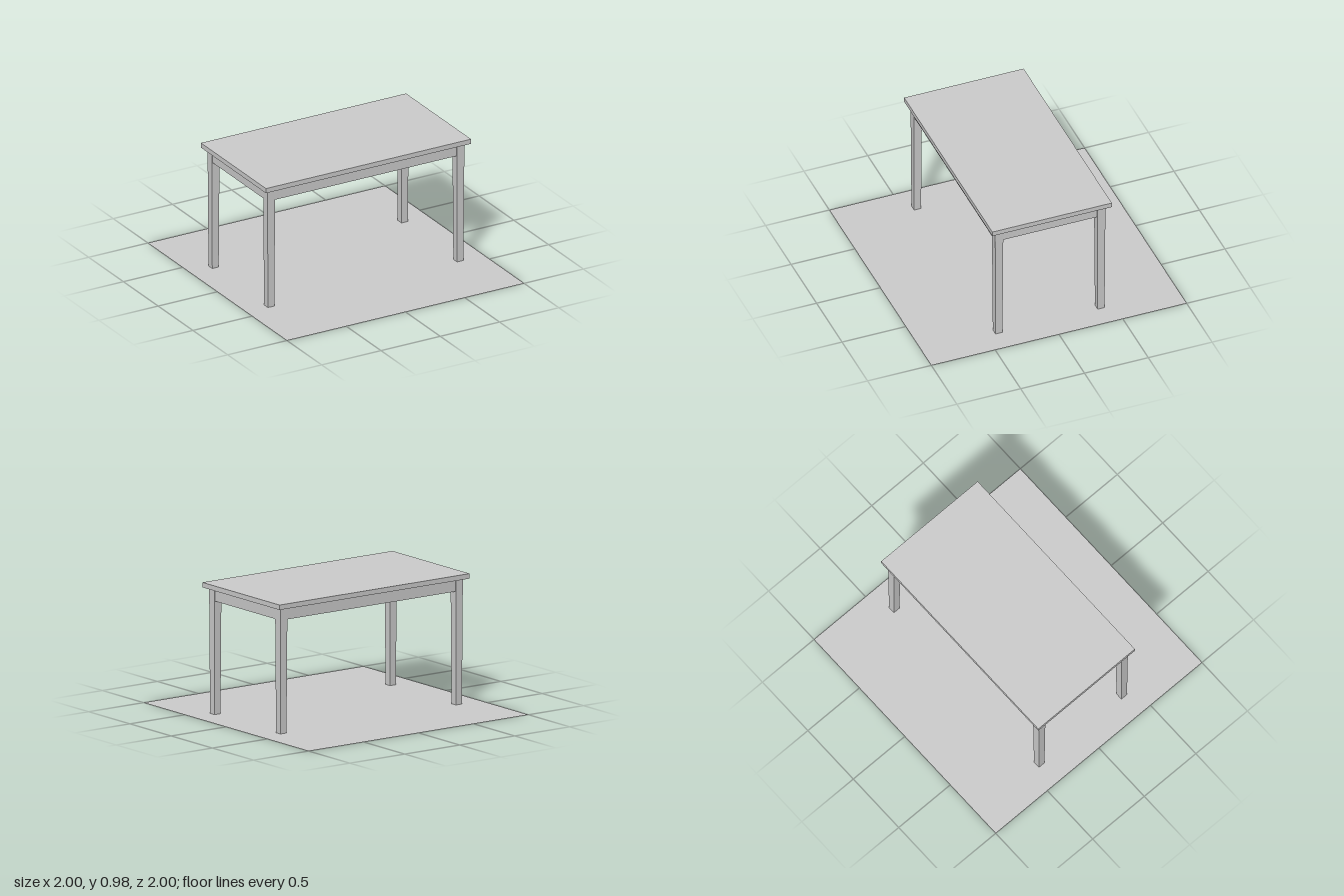
import * as THREE from 'three';

export function createModel() {
  const model = new THREE.Group();
  const material = new THREE.MeshStandardMaterial({ color: 0xcccccc, flatShading: true });
  const thinMaterial = new THREE.MeshStandardMaterial({ color: 0xcccccc, side: THREE.DoubleSide });

  const LEG_X = 0.798, LEG_Z = 0.4; // leg centres
  const LEG_TOP = 0.032, LEG_FOOT = 0.027; // leg half widths
  const TOP_UNDER = 0.938, TOP_HEIGHT = 0.975, APRON_UNDER = 0.847;
  const APRON_THICK = 0.03, APRON_INSET = 0.005;

  const add = (name, geometry, x, y, z, mat = material) => {
    const mesh = new THREE.Mesh(geometry, mat);
    mesh.name = name;
    mesh.position.set(x, y, z);
    model.add(mesh);
  };

  // Flat square base sheet under the table
  add('baseSheet', new THREE.PlaneGeometry(2, 2).rotateX(-Math.PI / 2), 0, 0, 0, thinMaterial);

  // Table top slab
  const slab = TOP_HEIGHT - TOP_UNDER;
  add('tableTop', new THREE.BoxGeometry(1.73, slab, 0.936), 0, TOP_UNDER + slab / 2, 0);

  // Four square legs, tapering slightly to the foot
  const legGeometry = new THREE.CylinderGeometry(
    LEG_TOP * Math.SQRT2, LEG_FOOT * Math.SQRT2, TOP_UNDER, 4
  ).rotateY(Math.PI / 4);
  for (const [sx, xName] of [[1, 'Left'], [-1, 'Right']]) {
    for (const [sz, zName] of [[1, 'front'], [-1, 'back']]) {
      add(`${zName}${xName}Leg`, legGeometry, sx * LEG_X, TOP_UNDER / 2, sz * LEG_Z);
    }
  }

  // Apron boards between the legs, set a little behind their outer faces
  const apronHeight = TOP_UNDER - APRON_UNDER;
  const apronY = APRON_UNDER + apronHeight / 2;
  const shift = LEG_TOP - APRON_INSET - APRON_THICK / 2;
  const longApron = new THREE.BoxGeometry(2 * (LEG_X - LEG_TOP) + 0.004, apronHeight, APRON_THICK);
  const shortApron = new THREE.BoxGeometry(APRON_THICK, apronHeight, 2 * (LEG_Z - LEG_TOP) + 0.004);
  for (const s of [1, -1]) {
    add(s > 0 ? 'frontApron' : 'backApron', longApron, 0, apronY, s * (LEG_Z + shift));
    add(s > 0 ? 'leftApron' : 'rightApron', shortApron, s * (LEG_X + shift), apronY, 0);
  }

  return model;
}
